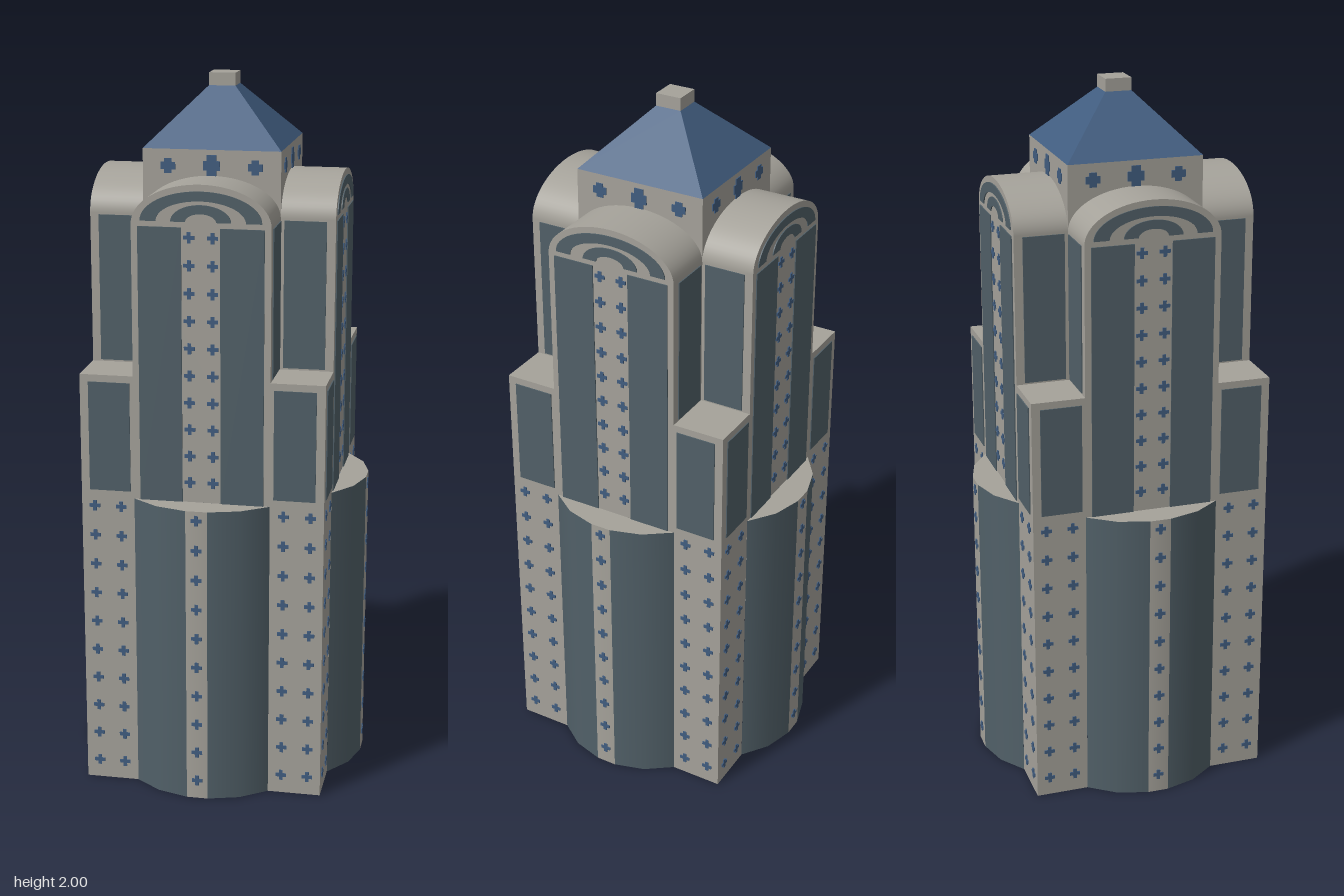
import * as THREE from 'three';
import { mergeGeometries } from 'three/addons/utils/BufferGeometryUtils.js';

const CORE = 0.19, EDGE = 0.34;              // half width of the core, reach of the arms
const BASE_TOP = 0.86, PIER_TOP = 1.21, SPRING = 1.63, RISE = 0.11;
const T = 0.006;                             // thickness of painted plates

function material(name, color) {
  const m = new THREE.MeshStandardMaterial({ color, side: THREE.DoubleSide });
  m.name = name;
  return m;
}

// Upright rectangle facing +z
function wall(x0, x1, y0, y1, z) {
  return new THREE.PlaneGeometry(x1 - x0, y1 - y0).translate((x0 + x1) / 2, (y0 + y1) / 2, z);
}

// Thin plate centred on a wall, so it shows from both sides
function plate(x0, x1, y0, y1, z) {
  return new THREE.BoxGeometry(x1 - x0, y1 - y0, T).translate((x0 + x1) / 2, (y0 + y1) / 2, z);
}

// Plus-shaped window
function cross(x, y, z, w = 0.03, h = w, bar = w / 3) {
  return [
    plate(x - w / 2, x + w / 2, y - bar / 2, y + bar / 2, z),
    plate(x - bar / 2, x + bar / 2, y - h / 2, y + h / 2, z),
  ];
}

// Half-elliptical band for the arched windows
function archBand(rx, ry, ix, iy, z) {
  const s = new THREE.Shape();
  s.moveTo(rx, 0);
  s.absellipse(0, 0, rx, ry, 0, Math.PI, false);
  s.lineTo(-ix, 0);
  s.absellipse(0, 0, ix, iy, Math.PI, 0, true);
  s.closePath();
  return new THREE.ExtrudeGeometry(s, { depth: T, bevelEnabled: false, curveSegments: 16 })
    .toNonIndexed?.call(new THREE.ExtrudeGeometry(s, { depth: T, bevelEnabled: false, curveSegments: 16 }))
    .translate(0, SPRING + 0.01, z - T / 2);
}

export function createModel() {
  const stone = material('stone', 0xa5a29a);
  const glass = material('tealGlass', 0x516068);
  const blue = material('roofBlue', 0x415d80);
  const tower = new THREE.Group();
  tower.name = 'tower';

  const add = (parent, name, mat, geos) => {
    const list = [].concat(geos).map(g => (g.index ? g.toNonIndexed() : g));
    const mesh = new THREE.Mesh(mergeGeometries(list), mat);
    mesh.name = name;
    parent.add(mesh);
  };

  // Circle of the curved bay, through (0, 0.42) and (0.19, 0.34)
  const R = 0.266, cz = 0.154;
  const inner = Math.asin(0.03 / R), outer = Math.asin(CORE / R);
  const bay = (start, end, n) =>
    new THREE.CylinderGeometry(R, R, BASE_TOP, n, 1, true, start, end - start)
      .translate(0, BASE_TOP / 2, cz);

  for (let i = 0; i < 4; i++) {
    const side = new THREE.Group();
    side.name = 'facade' + (i + 1);
    side.rotation.y = i * Math.PI / 2;
    tower.add(side);

    // Curved bay with a stone centre strip and a flat ledge
    add(side, 'bayGlass', glass, [bay(-outer, -inner, 2), bay(inner, outer, 2)]);
    add(side, 'bayStrip', stone, bay(-inner, inner, 1));
    const mid = (inner + outer) / 2;
    const ledge = new THREE.Shape(
      [-outer, -mid, -inner, inner, mid, outer]
        .map(a => new THREE.Vector2(R * Math.sin(a), -cz - R * Math.cos(a))));
    add(side, 'bayLedge', stone,
      new THREE.ShapeGeometry(ledge).rotateX(-Math.PI / 2).translate(0, BASE_TOP, 0));

    // Corner piers: two outer faces per side, one top per side
    add(side, 'pierWalls', stone, [
      wall(-EDGE, -CORE, 0, PIER_TOP, EDGE), wall(CORE, EDGE, 0, PIER_TOP, EDGE)]);
    add(side, 'pierTop', stone, new THREE.PlaneGeometry(EDGE - CORE, EDGE - CORE)
      .rotateX(-Math.PI / 2).translate((CORE + EDGE) / 2, PIER_TOP, (CORE + EDGE) / 2));

    // Arched front of the arm
    const front = new THREE.Shape();
    front.moveTo(-CORE, BASE_TOP);
    front.lineTo(CORE, BASE_TOP);
    front.lineTo(CORE, SPRING);
    front.absellipse(0, SPRING, CORE, RISE, 0, Math.PI, false);
    front.closePath();
    add(side, 'armFront', stone, new THREE.ShapeGeometry(front, 16).translate(0, 0, EDGE));

    // Walls of the neighbouring arms that face this way
    add(side, 'armSides', stone, [
      wall(-EDGE, -CORE, PIER_TOP, SPRING, CORE), wall(CORE, EDGE, PIER_TOP, SPRING, CORE)]);

    // Barrel vault over the arm
    add(side, 'vault', stone,
      new THREE.CylinderGeometry(1, 1, EDGE - CORE, 32, 1, true, Math.PI / 2, Math.PI)
        .rotateX(Math.PI / 2).scale(CORE, RISE, 1)
        .translate(0, SPRING, (CORE + EDGE) / 2));

    // Drum wall under the roof
    add(side, 'drumWall', stone, wall(-CORE, CORE, SPRING, 1.81, CORE));

    // Tall glass panels and arched bands
    const panels = [];
    for (const s of [-1, 1]) {
      const strip = (a, b, y0, y1, z) =>
        panels.push(plate(Math.min(s * a, s * b), Math.max(s * a, s * b), y0, y1, z));
      strip(0.053, 0.172, BASE_TOP, 1.625, EDGE);
      strip(0.2, 0.316, 0.88, 1.19, EDGE);
      strip(0.2, 0.316, 1.215, 1.625, CORE);
    }
    add(side, 'glassPanels', glass, panels);
    add(side, 'archBands', glass, [
      archBand(0.165, 0.082, 0.122, 0.056, EDGE),
      archBand(0.082, 0.046, 0.042, 0.022, EDGE)]);

    // Small cross windows
    const windows = [];
    for (let r = 0; r < 10; r++) {
      const yLow = 0.055 + r * 0.0865, yHigh = 0.917 + r * 0.0757;
      for (const x of [-0.303, -0.228, 0.228, 0.303]) windows.push(...cross(x, yLow, EDGE));
      windows.push(...cross(0, yLow, cz + R * Math.cos(inner)));
      for (const x of [-0.032, 0.032]) windows.push(...cross(x, yHigh, EDGE));
    }
    for (const x of [-0.12, 0.12]) windows.push(...cross(x, 1.765, CORE, 0.04, 0.04, 0.02));
    windows.push(...cross(0, 1.767, CORE, 0.046, 0.058, 0.026));
    add(side, 'windows', blue, windows);
  }

  // Pyramid roof and cap
  const roof = new THREE.CylinderGeometry(0.037 * Math.SQRT2, CORE * Math.SQRT2, 0.155, 4, 1, true)
    .rotateY(Math.PI / 4).translate(0, 1.8875, 0).toNonIndexed();
  roof.computeVertexNormals();
  add(tower, 'roof', blue, roof);
  add(tower, 'roofCap', stone, new THREE.BoxGeometry(0.074, 0.036, 0.074).translate(0, 1.982, 0));
  return tower;
}
